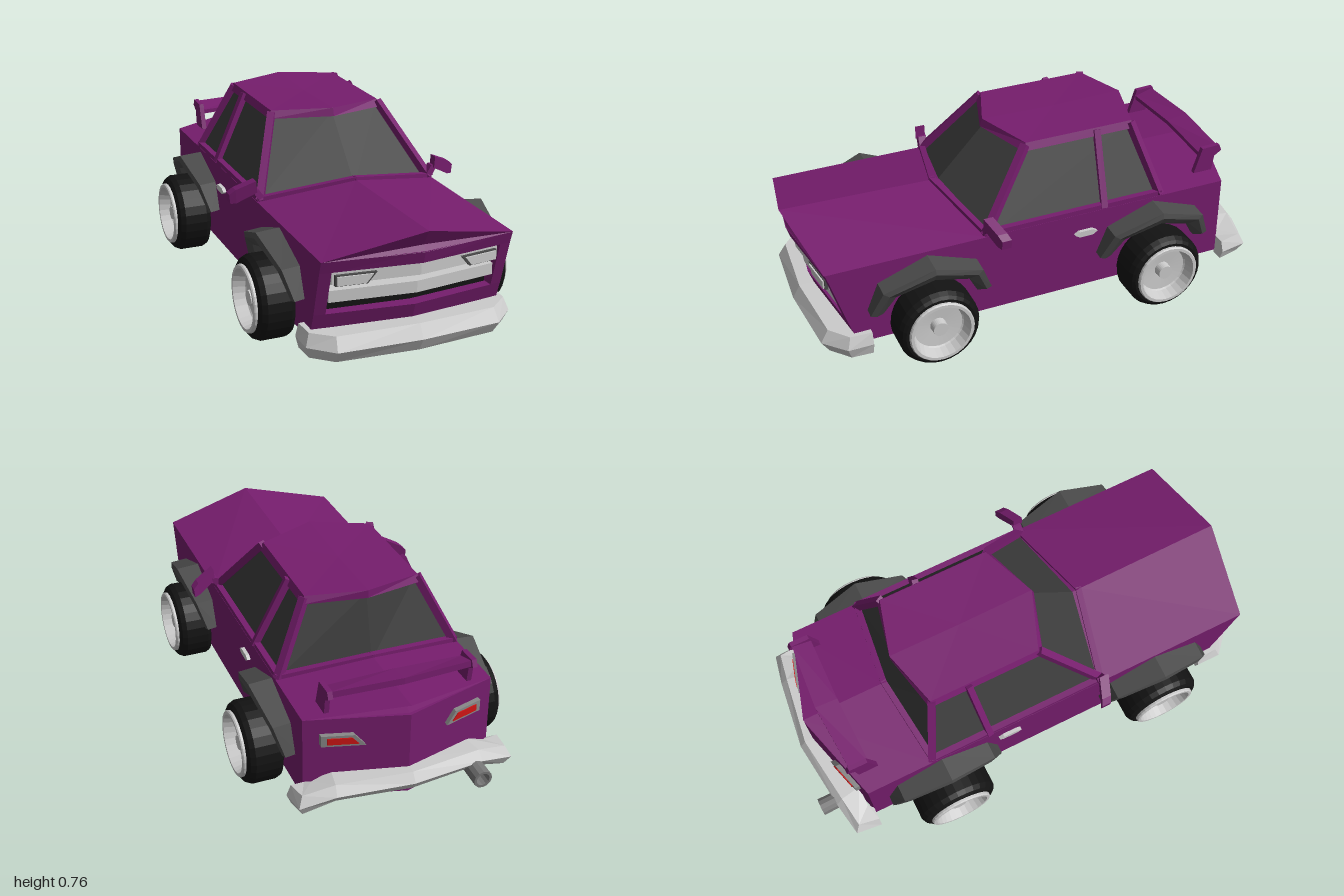
import * as THREE from 'three';

const mat = (color) => new THREE.MeshStandardMaterial({ color, flatShading: true, side: THREE.DoubleSide });

// Closed solid through loops of [x, y, z] corners; faces are turned outwards by signed volume.
function loft(rings) {
  const tris = [], n = rings[0].length;
  const mid = (r) => [0, 1, 2].map((k) => r.reduce((t, p) => t + p[k], 0) / n);
  const first = rings[0], last = rings[rings.length - 1], c0 = mid(first), c1 = mid(last);
  for (let j = 0; j < n; j++) {
    const k = (j + 1) % n;
    for (let i = 0; i + 1 < rings.length; i++) {
      const a = rings[i][j], b = rings[i][k], c = rings[i + 1][k], d = rings[i + 1][j];
      tris.push([a, b, c], [a, c, d]);
    }
    tris.push([c0, first[k], first[j]], [c1, last[j], last[k]]);
  }
  const v = (p) => new THREE.Vector3(...p);
  const volume = tris.reduce((t, [a, b, c]) => t + v(a).dot(v(b).cross(v(c))), 0);
  const flat = tris.flatMap(([a, b, c]) => (volume < 0 ? [a, c, b] : [a, b, c])).flat();
  const g = new THREE.BufferGeometry();
  g.setAttribute('position', new THREE.Float32BufferAttribute(flat, 3));
  g.computeVertexNormals();
  return g;
}

// Mirrors a half outline (from the front centre to the rear centre) into a full loop.
const flip = ([x, y, z]) => [-x, y, z];
const loop = (half) => [...half, ...half.slice(1, -1).reverse().map(flip)];

// Sweeps half stations (centre outwards) over both sides.
const bothSides = (stations) => [...stations.slice(1).reverse().map((r) => r.map(flip)), ...stations];

// Plate with outline [x, y] lying on a V-shaped face z = f(x), between offsets d0 and d1.
const plate = (outline, f, d0, d1, s) =>
  loft([d0, d1].map((d) => outline.map(([x, y]) => [x * s, y, f(x) + d])));

// V-shaped crossbar
const crossbar = (w, y0, y1, zMid, zSide, depth) => loft(bothSides([[0, zMid], [w, zSide]].map(([x, z]) =>
  [[x, y0, z], [x, y1, z], [x, y1, z - depth], [x, y0, z - depth]])));

// Bumper stations: [outer x, outer z, inner x, inner z, bottom, top]
const bumper = (stations) => loft(bothSides(stations.map(([xo, zo, xi, zi, y0, y1]) => {
  const x = xo + (xi - xo) * 0.25, z = zo + (zi - zo) * 0.25;
  return [[xi, y0, zi], [x, y0, z], [xo, (y0 + y1) / 2, zo], [x, y1, z], [xi, y1, zi]];
})));

export function createModel() {
  const car = new THREE.Group();
  car.name = 'car';
  const paint = mat(0x761d6d), glass = mat(0x3c3c3c), black = mat(0x131313);
  const trim = mat(0x4a4a4a), chrome = mat(0xcccccc), red = mat(0xd01515);
  const add = (name, geometry, material, parent = car) => {
    const m = new THREE.Mesh(geometry, material);
    m.name = name;
    parent.add(m);
    return m;
  };
  const beam = (name, a, b, w, h = w) => {
    const p = new THREE.Vector3(...a), q = new THREE.Vector3(...b);
    const m = add(name, new THREE.BoxGeometry(w, h, p.distanceTo(q) + w * 0.5), paint);
    m.position.copy(p).lerp(q, 0.5);
    m.lookAt(q);
  };

  // Lower body with a recessed grille opening: [y, nose centre z, nose corner z, recessed]
  const W = 0.385;
  add('body', loft([
    [0.105, 0.86, 0.81, 0], [0.22, 0.9, 0.85, 0], [0.22, 0.9, 0.85, 1],
    [0.405, 0.955, 0.905, 1], [0.405, 0.955, 0.905, 0], [0.455, 0.97, 0.922, 0],
  ].map(([y, zc, ze, deep]) => {
    const at = (x) => zc + (ze - zc) * x / W;
    return loop([[0, y, deep ? 0.82 : zc], [0.335, y, deep ? 0.78 : at(0.335)], [0.34, y, at(0.34)],
      [W, y, ze], [W, y, -0.8], [0, y, -0.91]]);
  })), paint);

  // Ridged hood and rear deck: [ridge y, ridge z, edge z]
  add('hoodAndDeck', loft([[0.54, 0.99, 0.925], [0.525, 0.36, 0.265], [0.495, -0.56, -0.51], [0.495, -0.91, -0.8]]
    .map(([y, zr, ze], i) => [[-W, 0.455, ze], [0, y, zr], [W, 0.455, ze], [0, 0.452, i ? zr : 0.97]])), paint);

  // Cabin glass, frame and roof
  add('windows', loft([
    loop([[0, 0.5, 0.345], [0.372, 0.45, 0.255], [0.372, 0.45, -0.5], [0, 0.47, -0.545]]),
    loop([[0, 0.74, 0.115], [0.23, 0.735, 0.035], [0.23, 0.735, -0.42], [0, 0.74, -0.48]]),
  ]), glass);
  add('roof', loft([
    loop([[0, 0.727, 0.135], [0.25, 0.72, 0.05], [0.25, 0.72, -0.445], [0, 0.727, -0.5]]),
    loop([[0, 0.76, 0.125], [0.236, 0.75, 0.035], [0.236, 0.75, -0.435], [0, 0.76, -0.5]]),
  ]), paint);
  for (const s of [-1, 1]) {
    const A = [0.37 * s, 0.462, 0.262], C = [0.37 * s, 0.462, -0.507];
    beam('frontPillar', A, [0.238 * s, 0.735, 0.042], 0.03);
    beam('rearPillar', C, [0.238 * s, 0.735, -0.432], 0.03);
    beam('centrePillar', [0.37 * s, 0.46, -0.253], [0.238 * s, 0.735, -0.275], 0.026, 0.042);
    beam('windowSill', A, C, 0.028);
    beam('windshieldSill', A, [0, 0.525, 0.35], 0.025);
    beam('rearWindowSill', C, [0, 0.495, -0.55], 0.025);
  }

  // Grille
  const onNose = (x) => 0.938 - 0.12 * x;
  add('grilleBack', crossbar(0.335, 0.22, 0.405, 0.85, 0.815, 0.05), black);
  add('upperGrilleBar', crossbar(0.335, 0.352, 0.402, 0.938, 0.898, 0.08), chrome);
  add('lowerGrilleBar', crossbar(0.335, 0.27, 0.316, 0.91, 0.87, 0.07), chrome);

  // Bumpers
  add('frontBumper', bumper([
    [0, 0.972, 0, 0.85, 0.053, 0.16], [0.33, 0.948, 0.3, 0.82, 0.053, 0.155],
    [0.42, 0.865, 0.35, 0.8, 0.055, 0.155], [0.42, 0.76, 0.37, 0.76, 0.055, 0.155],
  ]), chrome);
  add('rearBumper', bumper([
    [0, -0.972, 0, -0.87, 0.145, 0.22], [0.3, -0.935, 0.28, -0.82, 0.14, 0.213],
    [0.44, -0.91, 0.36, -0.82, 0.1, 0.185], [0.45, -0.8, 0.38, -0.8, 0.09, 0.175],
  ]), chrome);

  // Exhaust pipe, hollow at the tip
  const pipe = add('exhaust', new THREE.LatheGeometry(
    [[0, 0], [0.036, 0], [0.038, 0.22], [0.027, 0.22], [0.025, 0.12], [0, 0.12]].map((p) => new THREE.Vector2(...p)), 12), trim);
  pipe.material = mat(0x777777);
  pipe.rotation.x = -Math.PI / 2 - 0.05;
  pipe.position.set(-0.27, 0.155, -0.78);

  // Rear wing between two end plates
  add('spoilerWing', loft(bothSides([[0, -0.75, -0.845, 0.012], [0.29, -0.745, -0.825, 0]].map(([x, z0, z1, up]) =>
    [[x, 0.53 + up, z0], [x, 0.548 + up, z0], [x, 0.572 + up * 0.3, z1], [x, 0.545 + up * 0.3, z1]]))), paint);

  const tailFace = (x) => -0.91 + 0.11 * x / W;
  const wheelProfile = (pts) => new THREE.LatheGeometry(pts.map((p) => new THREE.Vector2(...p)), 28);
  const tyre = wheelProfile([[0, 0], [0.14, 0], [0.16, 0.008], [0.168, 0.025], [0.168, 0.12], [0.158, 0.14], [0.146, 0.149], [0.13, 0.149]]);
  const rim = wheelProfile([[0.134, 0.135], [0.134, 0.158], [0.13, 0.163], [0.118, 0.163], [0.106, 0.115], [0.1, 0.11],
    [0.032, 0.105], [0.03, 0.14], [0, 0.14]]);

  for (const s of [-1, 1]) {
    const side = (pts) => pts.map(([x, y, z]) => [x * s, y, z]);

    // Lights
    add('headlight', plate([[0.17, 0.39], [0.325, 0.39], [0.325, 0.348], [0.205, 0.348]], onNose, -0.03, 0.012, s), trim);
    add('headlightLens', plate([[0.185, 0.386], [0.32, 0.386], [0.32, 0.352], [0.212, 0.352]], onNose, 0, 0.018, s), chrome);
    add('taillightFrame', plate([[0.205, 0.392], [0.325, 0.392], [0.325, 0.345], [0.165, 0.345]], tailFace, 0.02, -0.02, s), mat(0x888888));
    add('taillight', plate([[0.215, 0.382], [0.305, 0.382], [0.305, 0.355], [0.19, 0.355]], tailFace, 0, -0.024, s), red);

    // Door handle
    const handle = [[-0.115, 0.368], [-0.135, 0.38], [-0.195, 0.38], [-0.215, 0.368], [-0.195, 0.355], [-0.135, 0.355]];
    add('doorHandle', loft([0.38, 0.4].map((x) => side(handle.map(([z, y]) => [x, y, z])))), chrome);

    // Wing end plate
    const fin = [[-0.715, 0.465], [-0.745, 0.56], [-0.75, 0.575], [-0.83, 0.578], [-0.842, 0.55], [-0.81, 0.53], [-0.8, 0.465]];
    add('spoilerPlate', loft([0.28, 0.3].map((x) => side(fin.map(([z, y]) => [x, y, z])))), paint);

    // Door mirror on a short stalk
    add('mirrorStalk', loft([[0.355, 0.455, 0.26], [0.392, 0.51, 0.255]].map(([x, y, z]) =>
      side([[x - 0.012, y, z - 0.018], [x + 0.018, y, z - 0.018], [x + 0.018, y, z + 0.018], [x - 0.012, y, z + 0.018]]))), paint);
    add('mirror', loft([[0.388, 0.5, 0.548, 0.262], [0.465, 0.457, 0.512, 0.235], [0.488, 0.454, 0.492, 0.225]].map(([x, y0, y1, z]) =>
      side([[x, y0, z - 0.02], [x + 0.004, y1, z - 0.02], [x + 0.004, y1, z + 0.02], [x, y0, z + 0.02]]))), paint);

    for (const [end, z, x] of [['front', 0.515, 0.375], ['rear', -0.472, 0.391]]) {
      // Flared arch: [outer z, outer y, inner z, inner y, x]
      add(end + 'Fender', loft([
        [-0.252, 0.245, -0.195, 0.235, 0.43], [-0.205, 0.358, -0.15, 0.322, 0.462], [0, 0.432, 0, 0.375, 0.487],
        [0.205, 0.358, 0.15, 0.322, 0.462], [0.252, 0.245, 0.195, 0.235, 0.43],
      ].map(([zo, yo, zi, yi, xo]) => side([
        [0.37, yo + 0.008, z + zo], [xo - 0.006, yo, z + zo], [xo, yo * 0.6 + yi * 0.4, z + zo * 0.6 + zi * 0.4],
        [xo - 0.02, yi, z + zi], [0.37, yi, z + zi]]))), trim);

      // Wheel
      const wheel = new THREE.Group();
      wheel.name = end + 'Wheel';
      wheel.position.set(x * s, 0.17, z);
      wheel.rotation.z = -s * Math.PI / 2;
      add('tyre', tyre, black, wheel);
      add('rim', rim, chrome, wheel);
      car.add(wheel);
    }
  }
  return car;
}
